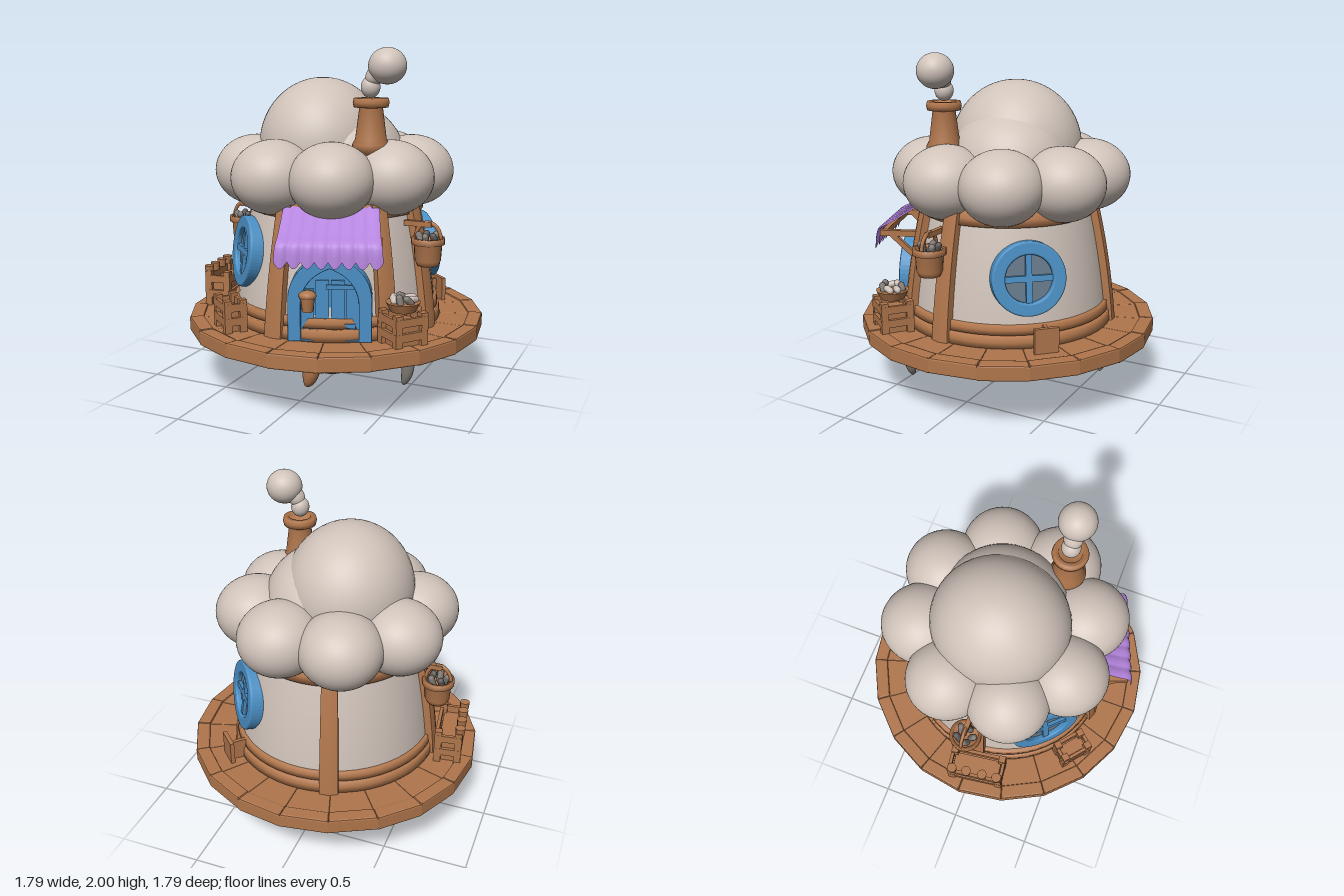
import * as THREE from 'three';

const mat = (name, color, extra = {}) => Object.assign(new THREE.MeshStandardMaterial({ color, ...extra }), { name });

export function createModel() {
  const root = new THREE.Group();
  root.name = 'mushroomHut';
  const wood = mat('wood', 0xb0764c);
  const cream = mat('cream', 0xd0c3ba);
  const blue = mat('blue paint', 0x4a8fc4);
  const purple = mat('awning purple', 0xb585de, { side: THREE.DoubleSide });
  const rock = mat('dark rock', 0x5e5a58);
  const stone = mat('grey stone', 0x807a75);
  const pane = mat('window pane', 0x66798a);

  const add = (parent, name, geo, m, pos = [0, 0, 0], rot = [0, 0, 0], scale = [1, 1, 1]) => {
    const mesh = new THREE.Mesh(geo, m);
    mesh.name = name;
    mesh.position.set(...pos);
    mesh.rotation.set(...rot);
    mesh.scale.set(...scale);
    parent.add(mesh);
    return mesh;
  };
  const group = (name, pos = [0, 0, 0], ry = 0, parent = root) => {
    const g = new THREE.Group();
    g.name = name;
    g.position.set(...pos);
    g.rotation.y = ry;
    parent.add(g);
    return g;
  };
  const rad = THREE.MathUtils.degToRad;
  const ball = new THREE.SphereGeometry(1, 40, 28);
  const smallBall = new THREE.SphereGeometry(1, 12, 8);
  const box = (w, h, d) => new THREE.BoxGeometry(w, h, d);
  // Wall radius at a given height
  const wallR = (y) => { const t = (y - 0.42) / 0.68; return 0.61 - 0.06 * t - 0.05 * t * t; };

  // Deck: radial planks with a raised segmented rim
  const sector = (r0, r1, a, h, bevel) => {
    const p = (r, s) => new THREE.Vector2(r * Math.sin(s * a / 2), -r * Math.cos(a / 2));
    const g = new THREE.ExtrudeGeometry(new THREE.Shape([p(r0, -1), p(r1, -1), p(r1, 1), p(r0, 1)]),
      { depth: h - 2 * bevel, bevelThickness: bevel, bevelSize: bevel, bevelOffset: -bevel, bevelSegments: 2 });
    return g.rotateX(-Math.PI / 2).translate(0, bevel, 0);
  };
  const deck = group('deck');
  const N = 20, step = Math.PI * 2 / N;
  const rimGeo = sector(0.81, 0.893, step, 0.09, 0.01);
  const plankGeo = sector(0.3, 0.815, step, 0.072, 0.006);
  for (let i = 0; i < N; i++) {
    add(deck, 'rimBoard', rimGeo, wood, [0, 0.33 + (i % 3) * 0.002, 0], [0, (i + 0.5) * step, 0]);
    add(deck, 'deckPlank', plankGeo, wood, [0, 0.34, 0], [0, (i + 0.5) * step, 0]);
  }
  add(deck, 'deckCore', new THREE.CylinderGeometry(0.83, 0.83, 0.05, N), wood, [0, 0.375, 0]);

  // Rock bowl covered in overlapping stones
  const bowl = group('rockBase', [-0.02, 0, 0]);
  const bowlPts = [[0, 0.05], [0.12, 0.07], [0.26, 0.12], [0.38, 0.2], [0.45, 0.28], [0.47, 0.35]];
  add(bowl, 'rockCore', new THREE.LatheGeometry(bowlPts.map((p) => new THREE.Vector2(...p)), 32), rock);
  [[0.29, 0.45, 15, 0.3], [0.225, 0.4, 13, 0.6], [0.165, 0.32, 11, 0.85], [0.11, 0.21, 8, 1.1], [0.075, 0.1, 5, 1.3]].forEach(([y, r, n, tilt], row) => {
    for (let i = 0; i < n; i++) {
      const g = group('rockScale', [0, 0, 0], (i + (row % 2) / 2) / n * Math.PI * 2, bowl);
      add(g, 'scale', smallBall, rock, [0, y, r], [tilt, 0, 0], [r * 3.5 / n, 0.065, 0.045]);
    }
  });
  add(bowl, 'rockTip', smallBall, rock, [-0.04, 0.06, 0.02], [0, 0, 0.15], [0.06, 0.06, 0.06]);
  // Hanging roots below the deck
  [[0.11, 0.58, wood], [0.59, 0.33, stone], [0.47, 0.02, stone], [-0.03, -0.62, stone], [-0.62, -0.06, stone], [-0.46, 0.25, stone]].forEach(([x, z, m]) => {
    const w = m === wood ? 0.05 : 0.036;
    const g = ball.clone().scale(w, 0.12, w);
    const p = g.attributes.position;
    for (let i = 0; i < p.count; i++) p.setX(i, p.getX(i) + 1.6 * (p.getY(i) ** 2) * Math.sign(-x));
    g.computeVertexNormals();
    add(root, 'hangingRoot', g, m, [x, 0.25, z]);
  });

  // Walls with base and top bands
  const band = (y0, y1, off, n = 8) => {
    const pts = [new THREE.Vector2(wallR(y0) - 0.03, y0)];
    for (let i = 0; i <= n; i++) { const y = y0 + (y1 - y0) * i / n; pts.push(new THREE.Vector2(wallR(y) + off, y)); }
    pts.push(new THREE.Vector2(wallR(y1) - 0.03, y1));
    return new THREE.LatheGeometry(pts, 56);
  };
  add(root, 'wall', band(0.4, 1.2, 0), cream);
  add(root, 'baseBoardLower', band(0.41, 0.48, 0.026, 2), wood);
  add(root, 'baseBoardUpper', band(0.485, 0.54, 0.018, 2), wood);
  add(root, 'topBand', band(1.07, 1.15, 0.018, 2), wood);

  // Timber posts following the wall curve
  const postGeo = new THREE.BoxGeometry(0.1, 0.74, 0.08, 2, 10, 1);
  const pp = postGeo.attributes.position;
  for (let i = 0; i < pp.count; i++) {
    const y = pp.getY(i) + 0.78, x = pp.getX(i);
    pp.setXYZ(i, x * (1.12 - 0.3 * (y - 0.42)), y, pp.getZ(i) + wallR(y) + (x === 0 && pp.getZ(i) > 0 ? 0.012 : 0));
  }
  postGeo.computeVertexNormals();
  [-9, 51, 82, 197, -88].forEach((a) => add(root, 'post', postGeo, wood, [0, 0, 0], [0, rad(a), 0]));

  // Round windows
  const ring = new THREE.Shape().absarc(0, 0, 0.2, 0, Math.PI * 2);
  ring.holes.push(new THREE.Path().absarc(0, 0, 0.145, 0, Math.PI * 2, true));
  const ringGeo = new THREE.ExtrudeGeometry(ring, { depth: 0.06, bevelThickness: 0.012, bevelSize: 0.01, bevelSegments: 3, curveSegments: 28 });
  [[-46, 0.82], [130, 0.79]].forEach(([a, y]) => {
    const s = group('window', [0, y, 0], rad(a));
    const g = group('windowFrame', [0, 0, wallR(y) - 0.035], 0, s);
    g.rotation.x = -0.13;
    add(g, 'ring', ringGeo, blue);
    add(g, 'pane', new THREE.CylinderGeometry(0.15, 0.15, 0.008, 32), pane, [0, 0, 0.036], [Math.PI / 2, 0, 0]);
    add(g, 'barVertical', box(0.035, 0.3, 0.03), blue, [0, 0, 0.045]);
    add(g, 'barHorizontal', box(0.3, 0.035, 0.03), blue, [0, 0, 0.045]);
  });

  // Arched door
  const front = group('entrance', [0, 0, 0], rad(21));
  const arch = (Type, w, h) => {
    const s = new Type();
    s.moveTo(-w, 0); s.lineTo(w, 0); s.lineTo(w, h * 0.5);
    s.quadraticCurveTo(w * 0.95, h * 0.86, 0, h);
    s.quadraticCurveTo(-w * 0.95, h * 0.86, -w, h * 0.5);
    s.lineTo(-w, 0);
    return s;
  };
  const frame = arch(THREE.Shape, 0.225, 0.48);
  frame.holes.push(arch(THREE.Path, 0.165, 0.41));
  add(front, 'doorFrame', new THREE.ExtrudeGeometry(frame, { depth: 0.12, bevelThickness: 0.01, bevelSize: 0.006, bevelSegments: 2 }), blue, [0, 0.42, 0.5]);
  add(front, 'doorPanel', new THREE.ExtrudeGeometry(arch(THREE.Shape, 0.17, 0.42), { depth: 0.1, bevelEnabled: false }), blue, [0, 0.42, 0.49]);
  [-0.124, -0.042, 0.042, 0.124].forEach((x) => {
    const h = 0.36 - Math.abs(x) * 0.6;
    add(front, 'doorPlank', box(0.074, h, 0.02), blue, [x, 0.42 + h / 2, 0.593]);
  });
  [0.5, 0.72].forEach((y) => add(front, 'doorHinge', box(0.16, 0.025, 0.012), blue, [0.06, y, 0.607]));
  add(front, 'doorLantern', new THREE.CylinderGeometry(0.042, 0.03, 0.085, 12), wood, [-0.12, 0.63, 0.63]);
  add(front, 'lanternCap', smallBall, wood, [-0.12, 0.675, 0.63], [0, 0, 0], [0.05, 0.03, 0.045]);

  // Scalloped cloth awning on brackets
  const profile = new THREE.CatmullRomCurve3([[1.14, 0.46], [1.07, 0.57], [1.015, 0.66], [0.985, 0.72], [0.96, 0.735], [0.89, 0.745]].map(([y, z]) => new THREE.Vector3(0, y, z)));
  const cloth = new THREE.PlaneGeometry(1, 1, 64, 16);
  const cp = cloth.attributes.position;
  for (let i = 0; i < cp.count; i++) {
    const u = cp.getX(i) + 0.5, v = 0.5 - cp.getY(i);
    const c = profile.getPoint(v), lobe = Math.abs(Math.sin(u * Math.PI * 8));
    cp.setXYZ(i, (u - 0.5) * (0.53 + 0.05 * v), c.y - (v > 0.98 ? 0.035 * lobe : 0) + 0.008 * lobe * (1 - v), c.z + 0.012 * lobe * v);
  }
  cloth.computeVertexNormals();
  add(front, 'awning', cloth, purple);
  [-0.265, 0.265].forEach((x) => {
    add(front, 'awningBeam', box(0.035, 0.035, 0.26), wood, [x, 0.955, 0.59]);
    add(front, 'awningBrace', box(0.03, 0.03, 0.22), wood, [x, 0.885, 0.585], [-0.75, 0, 0]);
  });
  add(front, 'awningRail', box(0.53, 0.03, 0.03), wood, [0, 0.955, 0.7]);

  // Puffy roof: a ring of eight lobes and two crowns
  const roof = group('roof', [-0.015, 0, -0.008]);
  for (let i = 0; i < 8; i++) {
    const a = (i + 0.5) * Math.PI / 4;
    add(roof, 'roofLobe', ball, cream, [0.465 * Math.sin(a), 1.28, 0.465 * Math.cos(a)], [0, a, 0], [0.242, 0.213, 0.25]);
  }
  add(roof, 'roofCore', ball, cream, [0, 1.27, 0], [0, 0, 0], [0.52, 0.17, 0.52]);
  add(roof, 'roofCrown', ball, cream, [-0.075, 1.43, 0], [0, 0, 0], [0.375, 0.4, 0.4]);
  add(roof, 'roofCrownSide', ball, cream, [0.075, 1.33, -0.03], [0, 0, 0], [0.345, 0.35, 0.37]);

  // Chimney and smoke
  const chim = [[0.03, 1.38], [0.1, 1.42], [0.105, 1.47], [0.088, 1.5], [0.066, 1.67], [0.096, 1.675], [0.102, 1.7], [0.096, 1.725], [0.065, 1.725], [0.06, 1.69], [0, 1.69]];
  add(root, 'chimney', new THREE.LatheGeometry(chim.map((p) => new THREE.Vector2(...p)), 28), wood, [0.32, 0, 0.24]);
  add(root, 'smokeLow', ball, cream, [0.316, 1.785, 0.24], [0, 0, 0], [0.054, 0.06, 0.054]);
  add(root, 'smokeNeck', ball, cream, [0.345, 1.85, 0.24], [0, 0, -0.6], [0.05, 0.07, 0.055]);
  add(root, 'smokeTop', ball, cream, [0.412, 1.9, 0.235], [0, 0, 0], [0.106, 0.1, 0.105]);

  // Hanging baskets
  const bucketPts = [[0, 0], [0.06, 0], [0.074, 0.03], [0.08, 0.12], [0.095, 0.125], [0.095, 0.16], [0.075, 0.16], [0.07, 0.12], [0, 0.12]];
  const bucketGeo = new THREE.LatheGeometry(bucketPts.map((p) => new THREE.Vector2(...p)), 20);
  [[-0.65, -0.02], [0.635, 0.15]].forEach(([x, z]) => {
    const b = group('basket', [x, 0.79, z]);
    add(b, 'basketBody', bucketGeo, wood);
    add(b, 'basketHandle', new THREE.TorusGeometry(0.075, 0.011, 8, 20, Math.PI), wood, [0, 0.15, 0], [0, 0, 0], [1, 1.25, 1]);
    add(b, 'basketPeg', box(0.16, 0.03, 0.03), wood, [-Math.sign(x) * 0.06, 0.235, 0]);
    for (let i = 0; i < 5; i++) {
      add(b, 'basketStone', new THREE.CapsuleGeometry(0.02, 0.05, 3, 8), i % 2 ? rock : stone, [0.045 * Math.sin(i * 1.26), 0.15, 0.045 * Math.cos(i * 1.26)], [0.4 * Math.cos(i), 0, 0.4 * Math.sin(i * 2)]);
    }
  });

  // Slatted crates
  const crate = (name, x, z, ry, w, d, h) => {
    const g = group(name, [x, 0.41, z], ry);
    for (const sx of [-1, 1]) for (const sz of [-1, 1]) {
      add(g, 'cratePost', box(0.042, h, 0.042), wood, [sx * (w / 2 - 0.02), h / 2, sz * (d / 2 - 0.02)]);
    }
    [0.35, 0.78].forEach((f) => [-1, 1].forEach((s) => {
      add(g, 'crateSlat', box(w, 0.045, 0.02), wood, [0, h * f, s * (d / 2 - 0.008)]);
      add(g, 'crateSlat', box(0.02, 0.045, d), wood, [s * (w / 2 - 0.008), h * f, 0]);
    }));
    add(g, 'crateBody', box(w - 0.05, h * 0.7, d - 0.05), wood, [0, h * 0.35, 0]);
    return g;
  };
  const bench = crate('benchCrate', -0.73, 0.07, rad(-82), 0.34, 0.16, 0.22);
  [-0.14, -0.05, 0.05, 0.14].forEach((x) => add(bench, 'benchKnob', new THREE.CylinderGeometry(0.03, 0.026, 0.05, 10), wood, [x, 0.225, 0.065]));
  crate('smallCrate', -0.4, 0.59, rad(-40), 0.2, 0.13, 0.19);
  const stall = crate('stallCrate', 0.595, 0.44, rad(52), 0.2, 0.19, 0.19);
  add(stall, 'bowl', new THREE.CylinderGeometry(0.095, 0.07, 0.05, 20), wood, [0, 0.215, 0]);
  for (let i = 0; i < 7; i++) {
    add(stall, 'bowlGoods', new THREE.CapsuleGeometry(0.02, 0.035, 3, 8), i % 3 ? cream : stone, [0.055 * Math.sin(i * 0.9), 0.255, 0.055 * Math.cos(i * 0.9)], [i, 0, 0.8 + i * 0.4]);
  }

  // Angled boards behind the hut
  const boards = group('leaningBoards', [0.5, 0.48, -0.51], rad(135));
  add(boards, 'boardWide', box(0.14, 0.15, 0.025), wood);
  add(boards, 'boardSide', box(0.022, 0.13, 0.11), wood, [0.02, -0.01, -0.05]);

  return root;
}
